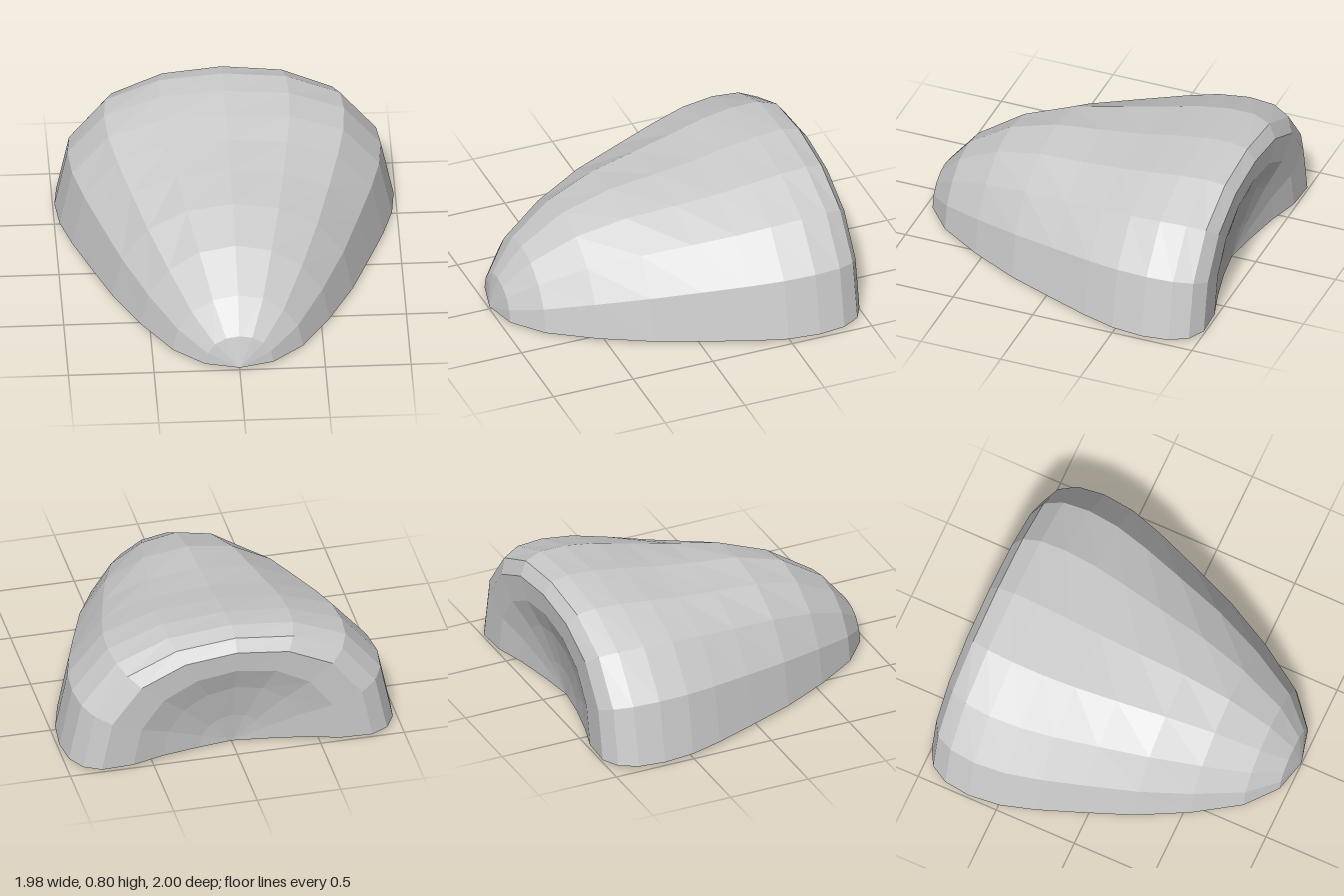
import * as THREE from 'three';

// Cross-sections from the front tip to the dimple at the back:
// [z, half width, crown height, base height]
const RINGS = [
  [1, 0, 0, 0.015], [0.95, 0.2, 0.19, 0.015], [0.8, 0.38, 0.375, 0.015],
  [0.54, 0.55, 0.545, 0.015], [0.25, 0.7, 0.635, 0.015], [-0.04, 0.815, 0.67, 0.015],
  [-0.29, 0.91, 0.705, 0.015], [-0.49, 0.97, 0.745, 0.015], [-0.68, 0.99, 0.775, 0.015],
  [-0.84, 0.97, 0.785, 0.015], [-0.945, 0.91, 0.76, 0.015], [-0.998, 0.81, 0.69, 0.015],
  [-0.99, 0.62, 0.56, 0.015], [-0.935, 0.43, 0.41, 0.015], [-0.88, 0.2, 0.195, 0.003],
  [-0.85, 0, 0, 0],
];
const SEGMENTS = 8;

export function createModel() {
  const group = new THREE.Group();
  const positions = [];
  const index = [];

  // Half-round arches, with the upper part pressed down to the crown height
  for (const [z, r, crown, base] of RINGS) {
    for (let i = 0; i <= SEGMENTS; i++) {
      const angle = (i / SEGMENTS) * Math.PI;
      const s = Math.sin(angle);
      positions.push(r * Math.cos(angle), base + r * s - (r - crown) * s ** 3, z);
    }
  }

  // Join neighbouring arches, fanning at the tip and the dimple
  const row = SEGMENTS + 1;
  const last = RINGS.length - 2;
  for (let k = 0; k <= last; k++) {
    for (let i = 0; i < SEGMENTS; i++) {
      const a = k * row + i, b = a + 1, c = a + row, d = c + 1;
      if (k < last) index.push(b, c, d);
      if (k > 0) index.push(a, c, b);
    }
  }

  const geometry = new THREE.BufferGeometry();
  geometry.setAttribute('position', new THREE.Float32BufferAttribute(positions, 3));
  geometry.setIndex(index);
  geometry.computeVertexNormals();

  // Open-bottomed shell
  const shell = new THREE.Mesh(geometry, new THREE.MeshStandardMaterial({
    color: 0xcccccc, flatShading: true, side: THREE.DoubleSide,
  }));
  shell.name = 'halfHeartShell';
  group.add(shell);
  return group;
}
